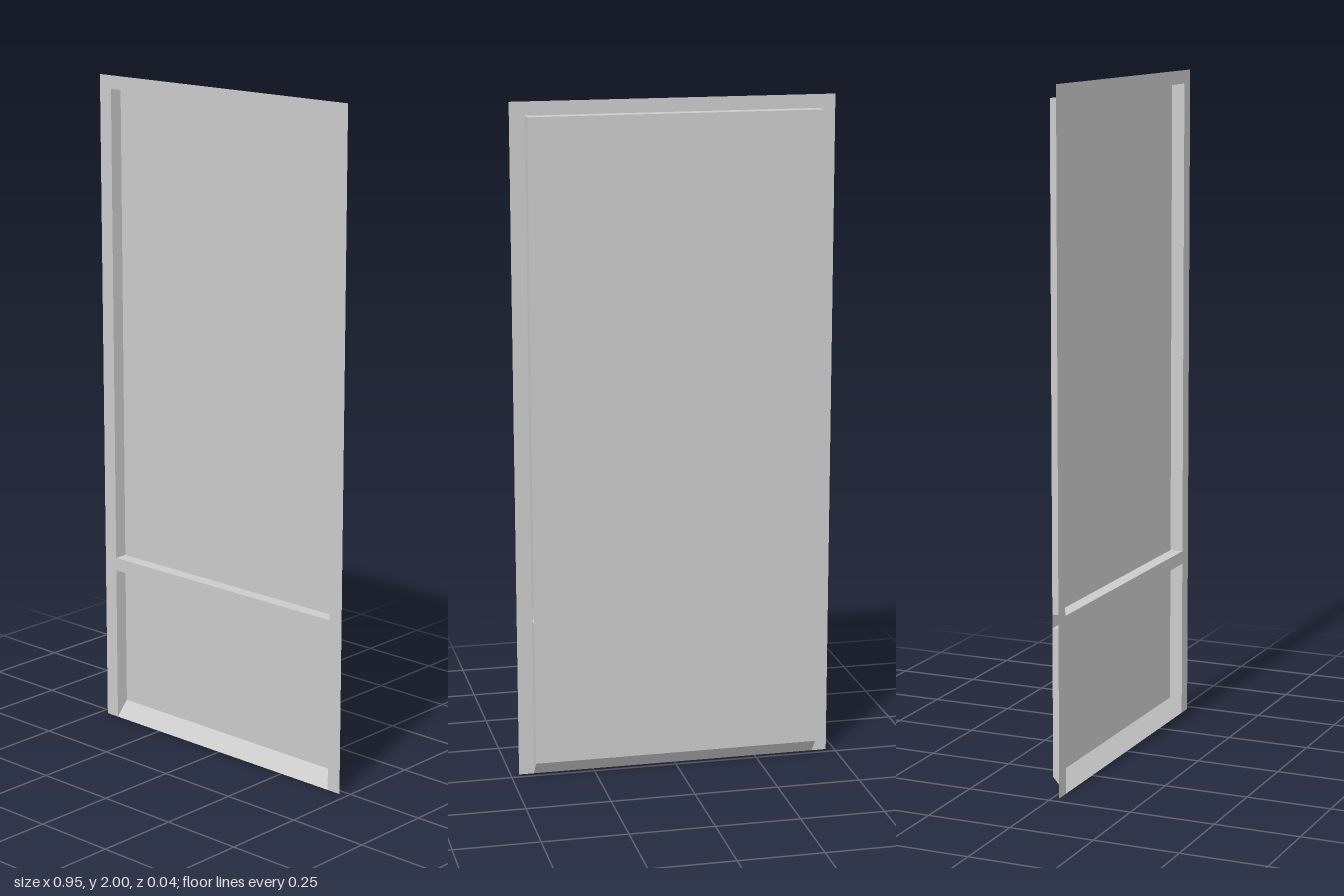
import * as THREE from 'three';

const material = new THREE.MeshStandardMaterial({ color: 0xcccccc, side: THREE.DoubleSide });
const W = 0.475;  // half width of the frame
const w = 0.43;   // half width of the openings
const Z = 0.02;   // half depth
const SILL = 0.045; // height of the sill at the back

function add(group, name, geometry, z = 0) {
  const mesh = new THREE.Mesh(geometry, material);
  mesh.name = name;
  mesh.position.z = z;
  group.add(mesh);
}

// Corners of a rectangle between two heights, counter-clockwise
const rect = (y0, y1) => [[-w, y0], [w, y0], [w, y1], [-w, y1]].map(([x, y]) => new THREE.Vector2(x, y));

// Flat-shaded walls joining a front loop to a back loop, facing into the opening
function reveal(front, back) {
  const pos = [];
  front.forEach((a, i) => {
    const j = (i + 1) % front.length;
    const b = front[j], c = back[j], d = back[i];
    pos.push(a.x, a.y, Z, b.x, b.y, Z, c.x, c.y, -Z);
    pos.push(a.x, a.y, Z, c.x, c.y, -Z, d.x, d.y, -Z);
  });
  const geometry = new THREE.BufferGeometry();
  geometry.setAttribute('position', new THREE.Float32BufferAttribute(pos, 3));
  geometry.computeVertexNormals();
  return geometry;
}

export function createModel() {
  const group = new THREE.Group();
  group.name = 'panelledDoor';

  // Front face: outer frame and middle rail, lower opening runs to the floor
  const face = new THREE.Shape([
    [-W, 0], [-w, 0], [-w, 0.48], [w, 0.48], [w, 0], [W, 0], [W, 2], [-W, 2],
  ].map(([x, y]) => new THREE.Vector2(x, y)));
  face.holes.push(new THREE.Path(rect(0.52, 1.96)));
  add(group, 'frontFrame', new THREE.ShapeGeometry(face), Z);

  // Walls of the two recesses; the lower one has a sloping sill
  add(group, 'upperReveal', reveal(rect(0.52, 1.96), rect(0.52, 1.96)));
  add(group, 'lowerReveal', reveal(rect(0, 0.48), rect(SILL, 0.48)));

  // Single sheet closing both recesses at the back
  add(group, 'backPanel', new THREE.ShapeGeometry(new THREE.Shape(rect(SILL, 1.96))), -Z);

  return group;
}
